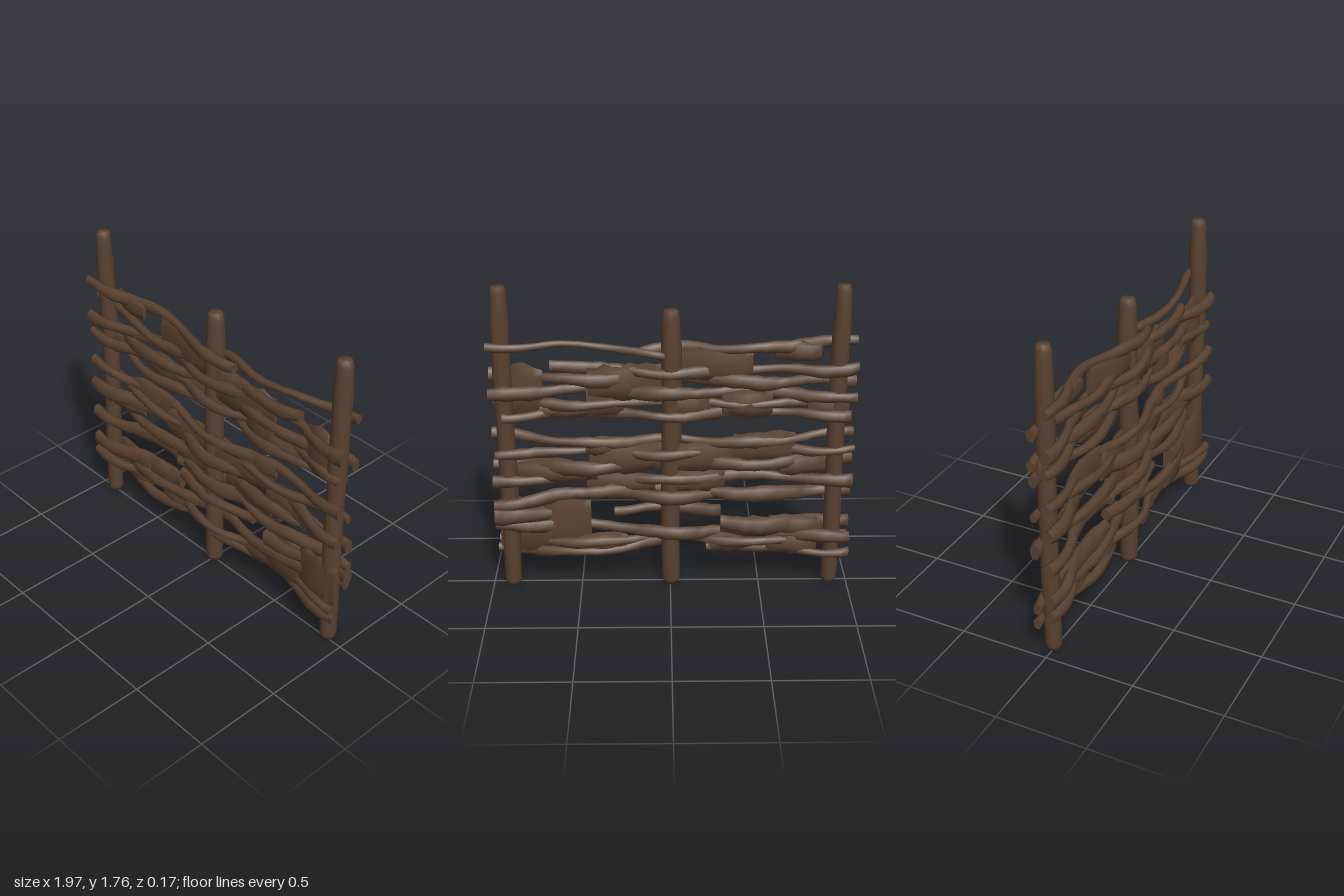
import * as THREE from 'three';

// Small seeded random source for the natural irregularity of the wood
function seeded(seed) {
  return () => {
    seed = (seed * 16807) % 2147483647;
    return seed / 2147483647;
  };
}

// Woven rods, alternately behind and before the posts: [x0, x1, y at start, middle, end, half height]
const RODS = [
  [.03, .97, 1.38, 1.425, 1.435, .02],
  [-1, .17, 1.435, 1.42, 1.385, .03],
  [-1, .64, 1.31, 1.28, 1.315, .03],
  [-1, .97, 1.21, 1.24, 1.25, .035],
  [-1, .97, 1.14, 1.17, 1.17, .034],
  [-1, .95, 1.1, 1.1, 1.1, .027],
  [-.97, .9, 1.04, 1.04, 1.04, .03],
  [-1, .97, .91, .87, .91, .03],
  [-1, .95, .84, .81, .82, .025],
  [-1, .97, .76, .74, .72, .04],
  [-1, .97, .65, .66, .65, .034],
  [-1, .5, .55, .57, .58, .04],
  [-.28, .97, .55, .555, .51, .034],
  [-.28, .31, .455, .455, .46, .032],
  [.45, .97, .45, .44, .45, .05],
  [-1, -.28, .36, .365, .38, .048],
  [-1, .97, .3, .33, .39, .036],
  [-1, .96, .26, .27, .26, .028],
  [-1, -.2, .2, .205, .225, .028],
  [.05, .97, .24, .205, .2, .028],
];

// Matted twigs that close the gaps between rods: [x0, x1, y0, y1]
const MATS = [
  [-.8, -.56, 1.34, 1.45], [-.44, -.03, 1.22, 1.42], [-.96, -.74, 1.02, 1.16], [-.55, -.28, 1.02, 1.18],
  [-.22, .03, 1.03, 1.16], [.04, .44, 1.12, 1.33], [.25, .45, 1.02, 1.2], [.68, .88, 1.03, 1.32],
  [.42, .7, 1.02, 1.11], [-.68, -.34, .76, .94], [-.37, 0, .7, .88], [-.88, -.6, .67, .79],
  [-.3, .02, .57, .72], [.02, .44, .69, .87], [.08, .46, .57, .7], [.4, .9, .64, .75],
  [.44, .7, .2, .54], [.66, .95, .2, .54], [-.82, -.54, .18, .31], [-.6, -.28, .3, .42],
  [-.42, -.2, .19, .33], [.24, .5, .2, .32], [-.85, -.55, .3, .42], [.28, .46, .8, .92],
];

// Lofts a lumpy oval section along x; at(x) gives centre y, centre z, half height, half depth
function loft(x0, x1, at, lump, random) {
  const sides = 7, steps = Math.max(4, Math.round((x1 - x0) / 0.045));
  const pos = [], index = [];
  for (let i = 0; i <= steps; i++) {
    const x = x0 + (x1 - x0) * i / steps;
    const [y, z, h, d] = at(x);
    for (let j = 0; j < sides; j++) {
      const a = j / sides * Math.PI * 2, r = 1 + (random() - 0.5) * lump;
      // A squared oval keeps the rods full-bodied
      const c = Math.cos(a), s = Math.sin(a);
      pos.push(x, y + Math.sign(c) * Math.abs(c) ** 0.8 * h * r, z + Math.sign(s) * Math.abs(s) ** 0.8 * d * r);
    }
  }
  for (let i = 0; i < steps; i++) for (let j = 0; j < sides; j++) {
    const a = i * sides + j, b = i * sides + (j + 1) % sides;
    index.push(a, b, a + sides, b, b + sides, a + sides);
  }
  // Flat cut ends on their own vertices
  for (const end of [0, steps]) {
    const base = pos.length / 3;
    pos.push(...pos.slice(end * sides * 3, (end + 1) * sides * 3));
    for (let j = 1; j < sides - 1; j++) {
      index.push(base, end ? base + j : base + j + 1, end ? base + j + 1 : base + j);
    }
  }
  const geo = new THREE.BufferGeometry();
  geo.setAttribute('position', new THREE.Float32BufferAttribute(pos, 3));
  geo.setIndex(index);
  geo.computeVertexNormals();
  return geo;
}

// Weave: furthest out at the three posts, a weaker swing to the opposite side in mid bay
const weave = x => {
  const c = Math.cos(x / 0.45 * Math.PI);
  return c > 0 ? c : c * .65;
};

export function createModel() {
  const group = new THREE.Group();
  const wood = new THREE.MeshStandardMaterial({ color: 0x5a4231 });
  wood.name = 'dark brown wood';
  const random = seeded(4217);
  const add = (geo, name) => {
    const mesh = new THREE.Mesh(geo, wood);
    mesh.name = name;
    group.add(mesh);
    return mesh;
  };

  // Upright posts with worn, rounded ends
  for (const [name, x, top, r] of [['rightPost', -.9, 1.76, .046], ['middlePost', -.005, 1.63, .051], ['leftPost', .89, 1.76, .048]]) {
    const profile = [[0, 0], [.8, .002], [.98, .03], [1, .15]];
    for (let i = 1; i <= 10; i++) profile.push([.98 + random() * .12, .15 + (top - .35) * i / 10]);
    profile.push([.95, top - .1], [.92, top - .03], [.7, top], [0, top]);
    const geo = new THREE.LatheGeometry(profile.map(([a, y]) => new THREE.Vector2(a * r, y)), 12);
    const p = geo.attributes.position;
    // Gentle bend along the height
    for (let i = 0; i < p.count; i++) {
      const y = p.getY(i);
      p.setX(i, p.getX(i) + Math.sin(y * 4 + x * 3) * .004);
      p.setZ(i, p.getZ(i) + Math.sin(y * 3 + x * 5) * .006);
    }
    add(geo, name).position.set(x, 0, -.012);
  }

  // Woven rods: a gentle sag through three heights, swelling between posts
  RODS.forEach(([x0, x1, ya, ym, yb, half], n) => {
    const side = n % 2 ? 1 : -1;
    const mid = .05 + .006 * Math.sin(n * 2.3);
    const at = x => {
      const t = (x - x0) / (x1 - x0);
      const y = ya * (1 - t) * (1 - 2 * t) + ym * 4 * t * (1 - t) + yb * t * (2 * t - 1);
      const h = half * (1 + .2 * Math.sin(x * 9 + n * 1.7));
      return [y + Math.sin(x * 14 + n * 2) * .005, side * mid * weave(x) - .006, h, Math.min(.03, .014 + h * .35)];
    };
    add(loft(x0, x1, at, .26, random), 'wovenRod' + (n + 1));
  });

  // Matted twigs
  MATS.forEach(([x0, x1, y0, y1], n) => {
    const side = n % 2 ? 1 : -1;
    const at = x => {
      const bulge = Math.sin((x - x0) / (x1 - x0) * Math.PI);
      return [(y0 + y1) / 2, side * .022 * weave(x) - .01, (y1 - y0) / 2 * (.8 + .2 * bulge), .012 + .018 * bulge];
    };
    add(loft(x0, x1, at, .3, random), 'mattedTwigs' + (n + 1));
  });

  return group;
}
